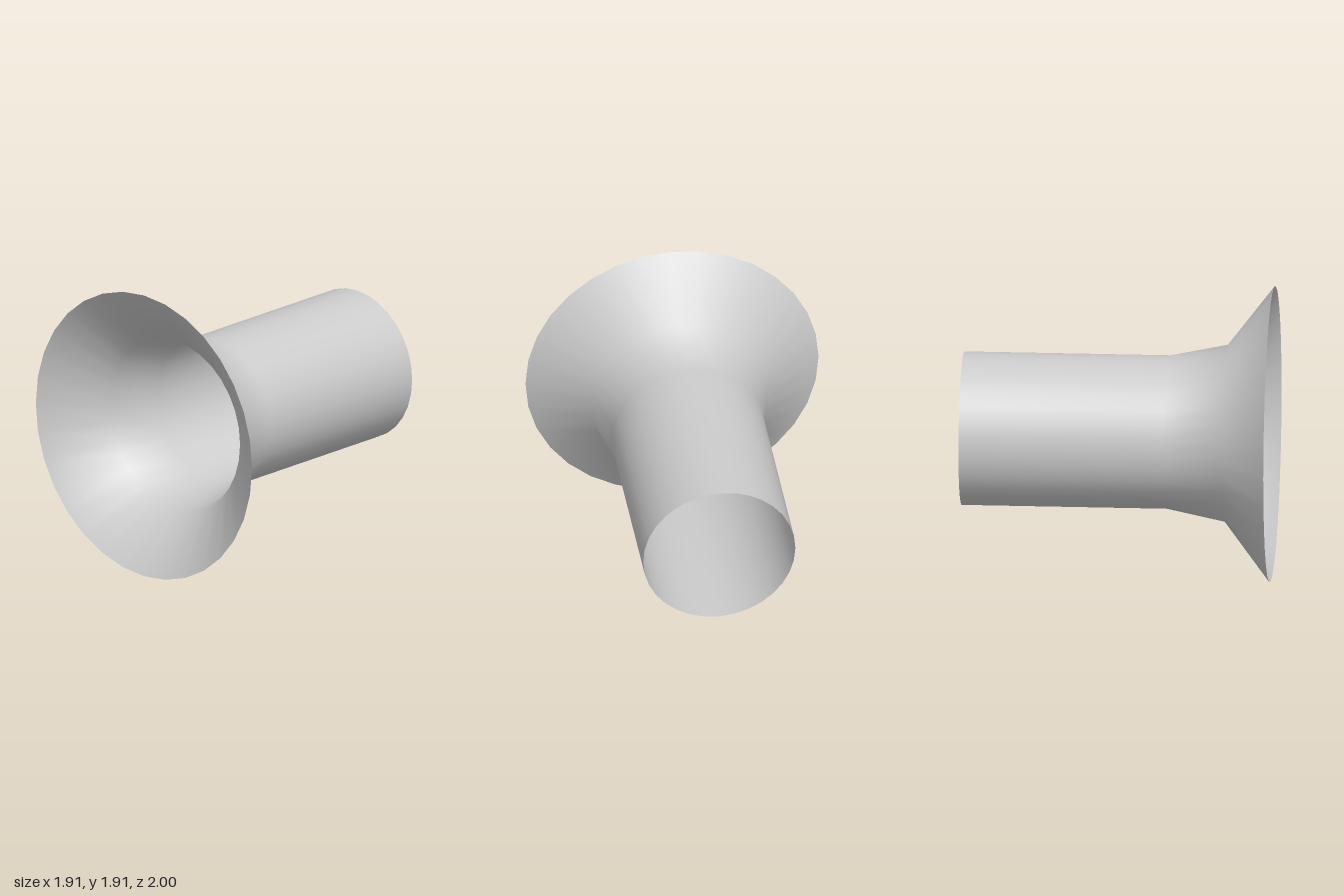
import * as THREE from 'three';

export function createModel() {
  const group = new THREE.Group();
  const rimRadius = 0.957;

  // Open thin-walled pipe: radius and position along the axis, back to front
  const profile = [
    [0.497, -1],     // back opening
    [0.497, 0.33],   // end of the straight pipe
    [0.574, 0.705],  // gentle widening
    [rimRadius, 1],  // wide front rim
  ].map(([r, z]) => new THREE.Vector2(r, z));

  const material = new THREE.MeshStandardMaterial({ color: 0xcccccc, side: THREE.DoubleSide });

  // Turn the lathe axis so the flare faces the front
  const geometry = new THREE.LatheGeometry(profile, 32).rotateX(Math.PI / 2);
  const flaredPipe = new THREE.Mesh(geometry, material);
  flaredPipe.name = 'flaredPipe';
  flaredPipe.position.y = rimRadius;
  group.add(flaredPipe);

  return group;
}
